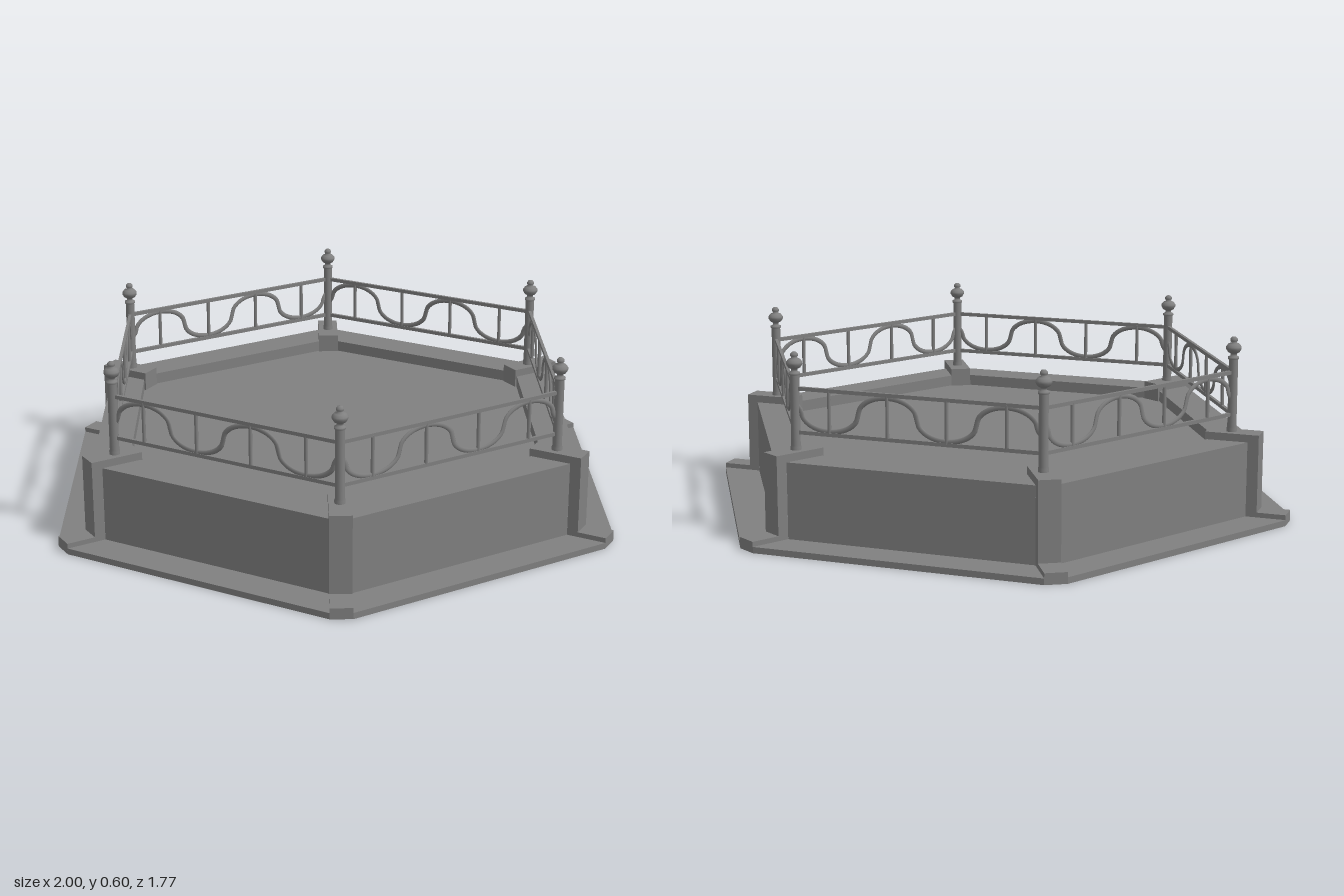
import * as THREE from 'three';

const TAN30 = Math.tan(Math.PI / 6);
const APOTHEM = 0.7; // distance of the railings from the centre
const FLOOR = 0.228;
const smooth = new THREE.MeshStandardMaterial({ color: 0x808080, side: THREE.DoubleSide });
const flat = new THREE.MeshStandardMaterial({ color: 0x808080, side: THREE.DoubleSide, flatShading: true });

function add(parent, name, geometry, material = flat) {
  const mesh = new THREE.Mesh(geometry, material);
  mesh.name = name;
  parent.add(mesh);
  return mesh;
}

// Folded sheet: follows a profile of [distance outwards, height], with a width for each distance
function foldedSheet(profile, halfWidth) {
  const sheet = new THREE.PlaneGeometry(2, 1, 1, profile.length - 1);
  const pos = sheet.attributes.position;
  for (let i = 0; i < pos.count; i++) {
    const [r, y] = profile[Math.floor(i / 2)];
    pos.setXYZ(i, pos.getX(i) * halfWidth(r), y, r);
  }
  const geometry = sheet.toNonIndexed();
  geometry.computeVertexNormals();
  return geometry;
}

// Hollow corner pillar with a foot on the flange and a cap reaching inwards
function addPillar(parent) {
  const outer = [[1, 0], [1, 0.036], [0.905, 0.036], [0.905, 0.29], [0.73, 0.29], [0.73, FLOOR]];
  const inner = [[0.736, FLOOR], [0.736, 0.265], [0.869, 0.265], [0.869, 0.02], [0.995, 0.02]];
  add(parent, 'pillar', foldedSheet(outer, () => 0.035));
  const cheek = new THREE.Shape([...outer, ...inner].map(([r, y]) => new THREE.Vector2(-r, y)));
  for (const x of [-0.035, 0.035]) {
    const geometry = new THREE.ShapeGeometry(cheek).rotateY(Math.PI / 2);
    add(parent, 'pillarCheek', geometry).position.x = x;
  }
}

// Post with a turned finial
function addPost(parent) {
  const profile = [
    [0.017, 0.28], [0.017, 0.3], [0.015, 0.305], [0.015, 0.525], [0.018, 0.528], [0.018, 0.534],
    [0.01, 0.538], [0.01, 0.545], [0.019, 0.55], [0.025, 0.56], [0.025, 0.567], [0.018, 0.576],
    [0.008, 0.58], [0.012, 0.586], [0.012, 0.592], [0.007, 0.598], [0, 0.6],
  ].map(([r, y]) => new THREE.Vector2(r, y));
  add(parent, 'post', new THREE.LatheGeometry(profile, 16), smooth).position.z = APOTHEM / Math.cos(Math.PI / 6);
}

// Railing between two posts: two rails, a flat wave of half ellipses and upright bars
function addRailing(parent, sign) {
  const half = 0.0965, mid = 0.415, amp = 0.06;
  const railing = new THREE.Group();
  railing.name = 'railing';
  railing.position.z = APOTHEM;
  parent.add(railing);
  for (const y of [0.346, 0.484]) {
    add(railing, 'rail', new THREE.BoxGeometry(0.8, 0.012, 0.01)).position.y = y;
  }
  const points = [new THREE.Vector3(-0.4, mid + sign * 0.02, 0)];
  for (let i = 0; i < 4; i++) {
    const cx = (i - 1.5) * 2 * half;
    const dir = (i % 2 ? 1 : -1) * sign;
    for (let k = 0; k < 8; k++) {
      const t = (k / 8) * Math.PI;
      points.push(new THREE.Vector3(cx - half * Math.cos(t), mid + dir * amp * Math.sin(t), 0));
    }
    const bar = add(railing, 'uprightBar', new THREE.CylinderGeometry(0.006, 0.006, 0.135, 8), smooth);
    bar.position.set(cx, mid, 0);
  }
  points.push(new THREE.Vector3(4 * half, mid, 0), new THREE.Vector3(0.4, mid - sign * 0.02, 0));
  const wave = new THREE.TubeGeometry(new THREE.CatmullRomCurve3(points), 96, 0.008, 8);
  add(railing, 'waveBar', wave.scale(1, 1, 0.5), smooth);
}

export function createModel() {
  const model = new THREE.Group();
  model.name = 'hexagonalPlatform';

  const floor = new THREE.CircleGeometry(0.655 / Math.cos(Math.PI / 6), 6).rotateX(-Math.PI / 2);
  add(model, 'floor', floor).position.y = FLOOR;

  // Section of each side: flange skirt, flange, outer wall, rim, inner step
  const section = [[0.8835, 0], [0.8835, 0.02], [0.77, 0.02], [0.77, 0.265], [0.655, 0.265], [0.655, FLOOR]];

  for (let i = 0; i < 6; i++) {
    const corner = new THREE.Group();
    corner.name = 'corner';
    corner.rotation.y = Math.PI / 6 + (i * Math.PI) / 3;
    addPillar(corner);
    addPost(corner);
    model.add(corner);

    // The sides end where the pillars begin; the waves on one half are mirrored
    const side = new THREE.Group();
    side.name = 'side';
    side.rotation.y = (i * Math.PI) / 3;
    add(side, 'wallAndFlange', foldedSheet(section, (r) => r * TAN30 - 0.0404));
    addRailing(side, i > 3 ? -1 : 1);
    model.add(side);
  }
  return model;
}
